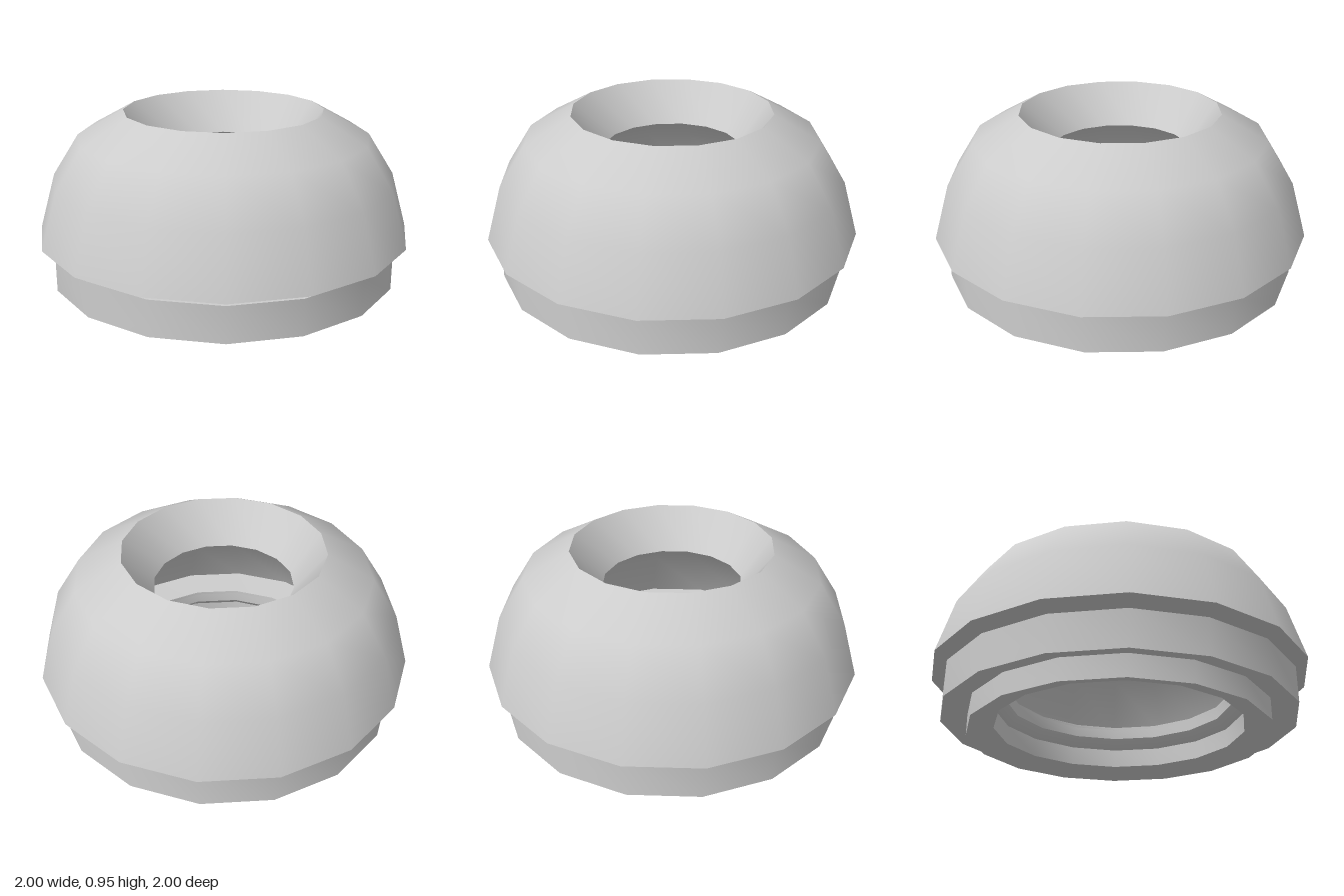
import * as THREE from 'three';
import { toCreasedNormals } from 'three/addons/utils/BufferGeometryUtils.js';

const SIDES = 16;

// Revolves a closed cross-section (radius, height), listed counterclockwise
function ring(name, profile, material) {
  const points = [...profile, profile[0]].map(([r, y]) => new THREE.Vector2(r, y));
  const geometry = toCreasedNormals(new THREE.LatheGeometry(points, SIDES), 0.6);
  const mesh = new THREE.Mesh(geometry, material);
  mesh.name = name;
  return mesh;
}

export function createModel() {
  const group = new THREE.Group();
  group.name = 'domedRing';
  const grey = new THREE.MeshStandardMaterial({ color: 0xcccccc });
  grey.name = 'lightGrey';

  // Hollow dome with a funnel-shaped opening in the top
  group.add(ring('dome', [
    [0.6, 0.255], [1, 0.305], [0.915, 0.6], [0.775, 0.82], [0.53, 0.955],
    [0.37, 0.74], [0.62, 0.58], [0.78, 0.28], [0.6, 0.27],
  ], grey));

  // Wide band under the dome, its underside rising inwards
  group.add(ring('middleBand', [
    [0.935, 0.075], [0.935, 0.265], [0.6, 0.265], [0.6, 0.2], [0.657, 0.147], [0.797, 0.116],
  ], grey));

  // Narrow foot ring with a recessed inner edge
  group.add(ring('footRing', [
    [0.797, 0], [0.797, 0.118], [0.657, 0.15], [0.657, 0.045],
  ], grey));

  return group;
}
